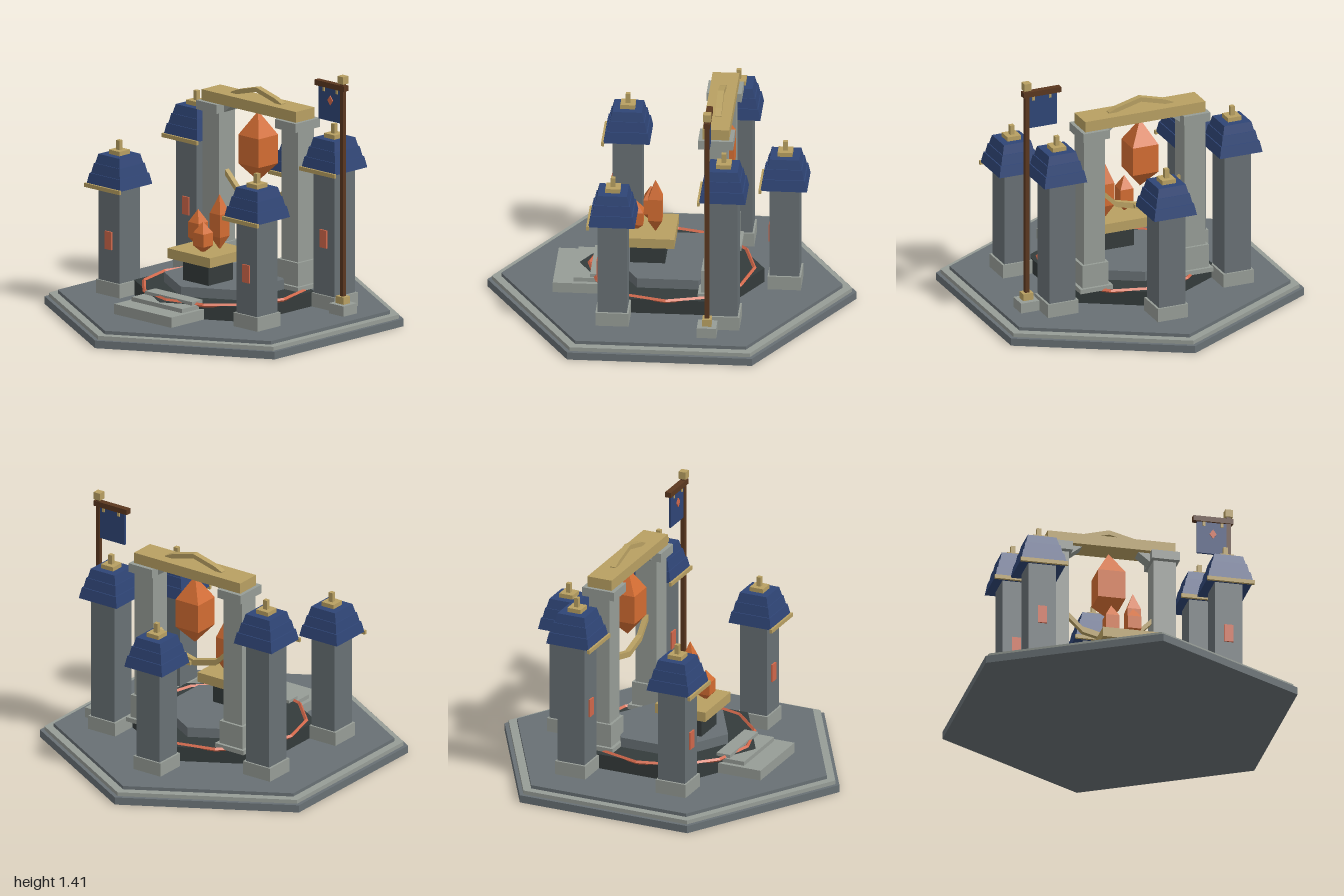
import * as THREE from 'three';

const mat = (name, color) => Object.assign(new THREE.MeshStandardMaterial({ color }), { name });
const slate = mat('slate', 0x687074);
const stone = mat('pale stone', 0x969c96);
const dark = mat('dark stone', 0x343b3b);
const gold = mat('gold', 0xb8a062);
const blue = mat('roof blue', 0x2f4576);
const amber = mat('amber crystal', 0xd26c32);
const coral = mat('glowing coral', 0xd0674a);
const wood = mat('brown wood', 0x5a371f);

// Faceted mesh helper
function add(parent, name, geometry, material, x = 0, y = 0, z = 0) {
  const g = geometry.index ? geometry.toNonIndexed() : geometry;
  g.computeVertexNormals();
  const mesh = new THREE.Mesh(g, material);
  mesh.name = name;
  mesh.position.set(x, y, z);
  parent.add(mesh);
  return mesh;
}

// Box given by its bottom and top heights
const block = (p, name, m, w, d, y0, y1, x = 0, z = 0) =>
  add(p, name, new THREE.BoxGeometry(w, y1 - y0, d), m, x, (y0 + y1) / 2, z);

const hexSlab = (p, name, m, r, y0, y1) =>
  add(p, name, new THREE.CylinderGeometry(r, r, y1 - y0, 6), m, 0, (y0 + y1) / 2, 0);

// Square block whose sides slope inward
function taper(p, name, m, low, high, y0, y1) {
  const g = new THREE.CylinderGeometry(high * Math.SQRT2, low * Math.SQRT2, y1 - y0, 4);
  add(p, name, g.rotateY(Math.PI / 4), m, 0, (y0 + y1) / 2, 0);
}

// Four-sided crystal with pointed ends
function crystal(p, name, half, y0, y1, x, z) {
  const r = half * Math.SQRT2, h = y1 - y0;
  const profile = [[0, 0], [r, h * 0.25], [r, h * 0.66], [0, h]].map(([a, b]) => new THREE.Vector2(a, b));
  add(p, name, new THREE.LatheGeometry(profile, 4).rotateY(Math.PI / 4), amber, x, y0, z);
}

// Bent bar: a polyline thickened in y and extruded in z
function bentBar(p, name, m, line, t, depth, z) {
  const outline = [
    ...line.map(([x, y]) => new THREE.Vector2(x, y - t / 2)),
    ...line.slice().reverse().map(([x, y]) => new THREE.Vector2(x, y + t / 2)),
  ];
  const g = new THREE.ExtrudeGeometry(new THREE.Shape(outline), { depth, bevelEnabled: false });
  add(p, name, g.translate(0, 0, -depth / 2), m, 0, 0, z);
}

function group(parent, name, x = 0, z = 0) {
  const g = new THREE.Group();
  g.name = name;
  g.position.set(x, 0, z);
  parent.add(g);
  return g;
}

// Guard tower with a stepped roof; lift raises the whole roof
function tower(parent, name, x, z, lift) {
  const g = group(parent, name, x, z);
  const e = 0.69 + lift;
  block(g, 'towerBase', stone, 0.18, 0.18, 0.083, 0.16);
  block(g, 'towerShaft', slate, 0.155, 0.16, 0.16, e);
  block(g, 'towerWindow', coral, 0.05, 0.009, 0.34 + lift / 2, 0.44 + lift / 2, 0, 0.0845);
  block(g, 'eaveTrim', gold, 0.264, 0.015, e - 0.015, e + 0.007, 0, 0.129);
  taper(g, 'roofTier', blue, 0.126, 0.114, e, e + 0.062);
  taper(g, 'roofTier', blue, 0.108, 0.097, e + 0.062, e + 0.117);
  taper(g, 'roofTier', blue, 0.092, 0.08, e + 0.117, e + 0.168);
  block(g, 'finialPlate', gold, 0.08, 0.08, e + 0.168, e + 0.192);
  block(g, 'finial', gold, 0.025, 0.025, e + 0.192, e + 0.245);
}

export function createModel() {
  const model = new THREE.Group();
  model.name = 'crystalShrine';

  // Hexagonal terrace and dais
  hexSlab(model, 'terraceFoot', slate, 1, 0, 0.042);
  hexSlab(model, 'terraceRim', stone, 0.976, 0.042, 0.064);
  hexSlab(model, 'terraceFloor', slate, 0.925, 0.064, 0.083);
  hexSlab(model, 'lowerDais', dark, 0.5, 0.083, 0.165);
  hexSlab(model, 'upperDais', slate, 0.335, 0.165, 0.22);
  add(model, 'glowingRing', new THREE.TorusGeometry(0.447, 0.011, 4, 12).rotateX(Math.PI / 2), coral, 0, 0.165, 0);

  // Front steps
  [[0.43, 0.63, 0.14], [0.38, 0.52, 0.163], [0.355, 0.43, 0.182]].forEach(([w, front, top]) =>
    block(model, 'step', stone, w, front - 0.35, 0.083, top, 0, (front + 0.35) / 2));

  // Altar and its crystals
  const altar = group(model, 'altar');
  block(altar, 'altarPedestal', dark, 0.19, 0.19, 0.22, 0.34, 0, 0.125);
  block(altar, 'altarSlab', gold, 0.32, 0.3, 0.34, 0.395, 0, 0.125);
  crystal(altar, 'altarCrystal', 0.038, 0.39, 0.6, -0.078, 0.12);
  crystal(altar, 'altarCrystal', 0.038, 0.39, 0.7, 0.05, 0.085);
  crystal(altar, 'altarCrystal', 0.038, 0.385, 0.56, 0.027, 0.19);

  // Gateway behind the altar
  const gate = group(model, 'gateway', 0, -0.265);
  for (const s of [-1, 1]) {
    const x = s * 0.297;
    block(gate, 'pillarPlinth', stone, 0.19, 0.19, 0.165, 0.19, x);
    block(gate, 'pillarBase', stone, 0.155, 0.155, 0.19, 0.32, x);
    block(gate, 'pillarShaft', stone, 0.125, 0.125, 0.32, 1.05, x);
    block(gate, 'pillarCapital', stone, 0.155, 0.19, 1.05, 1.1, x);
    const tri = [[0.22, 1.1], [0.22, 1.05], [0.155, 1.1]].map(([a, b]) => new THREE.Vector2(s * a, b));
    const wedge = new THREE.ExtrudeGeometry(new THREE.Shape(tri), { depth: 0.08, bevelEnabled: false });
    add(gate, 'bracket', wedge, stone, 0, 0, -0.04);
  }
  block(gate, 'lintel', gold, 0.71, 0.145, 1.1, 1.16);
  bentBar(gate, 'lintelCrest', gold, [[-0.19, 1.152], [-0.14, 1.174], [0, 1.211], [0.14, 1.174], [0.19, 1.152]], 0.026, 0.034, 0);
  bentBar(gate, 'hangingGarland', gold, [[-0.237, 0.71], [-0.147, 0.62], [0, 0.583], [0.147, 0.62], [0.237, 0.71]], 0.032, 0.03, 0);
  crystal(gate, 'floatingCrystal', 0.076, 0.7, 1.09, 0, 0);

  // Five towers
  tower(model, 'backTower', 0, -0.615, 0);
  for (const [side, s] of [['left', 1], ['right', -1]]) {
    tower(model, side + 'RearTower', s * 0.518, -0.322, 0.167);
    tower(model, side + 'FrontTower', s * 0.518, 0.278, 0);
  }

  // Banner pole
  const flag = group(model, 'bannerPole', 0.66, -0.242);
  block(flag, 'poleFoot', stone, 0.11, 0.105, 0.083, 0.14);
  block(flag, 'poleCollar', gold, 0.06, 0.05, 0.14, 0.18);
  block(flag, 'pole', wood, 0.024, 0.024, 0.18, 1.365);
  block(flag, 'crossbar', wood, 0.222, 0.034, 1.325, 1.355, -0.087);
  block(flag, 'poleKnob', gold, 0.042, 0.042, 1.365, 1.407);
  block(flag, 'banner', blue, 0.172, 0.012, 1.14, 1.326, -0.09);
  for (const x of [-0.137, -0.037]) block(flag, 'bannerLoop', gold, 0.014, 0.022, 1.3, 1.327, x);
  const diamond = new THREE.Shape([[-0.02, 0], [0, -0.027], [0.02, 0], [0, 0.027]].map(([a, b]) => new THREE.Vector2(a, b)));
  add(flag, 'bannerDiamond', new THREE.ExtrudeGeometry(diamond, { depth: 0.006, bevelEnabled: false }), coral, -0.087, 1.256, 0.005);

  return model;
}
